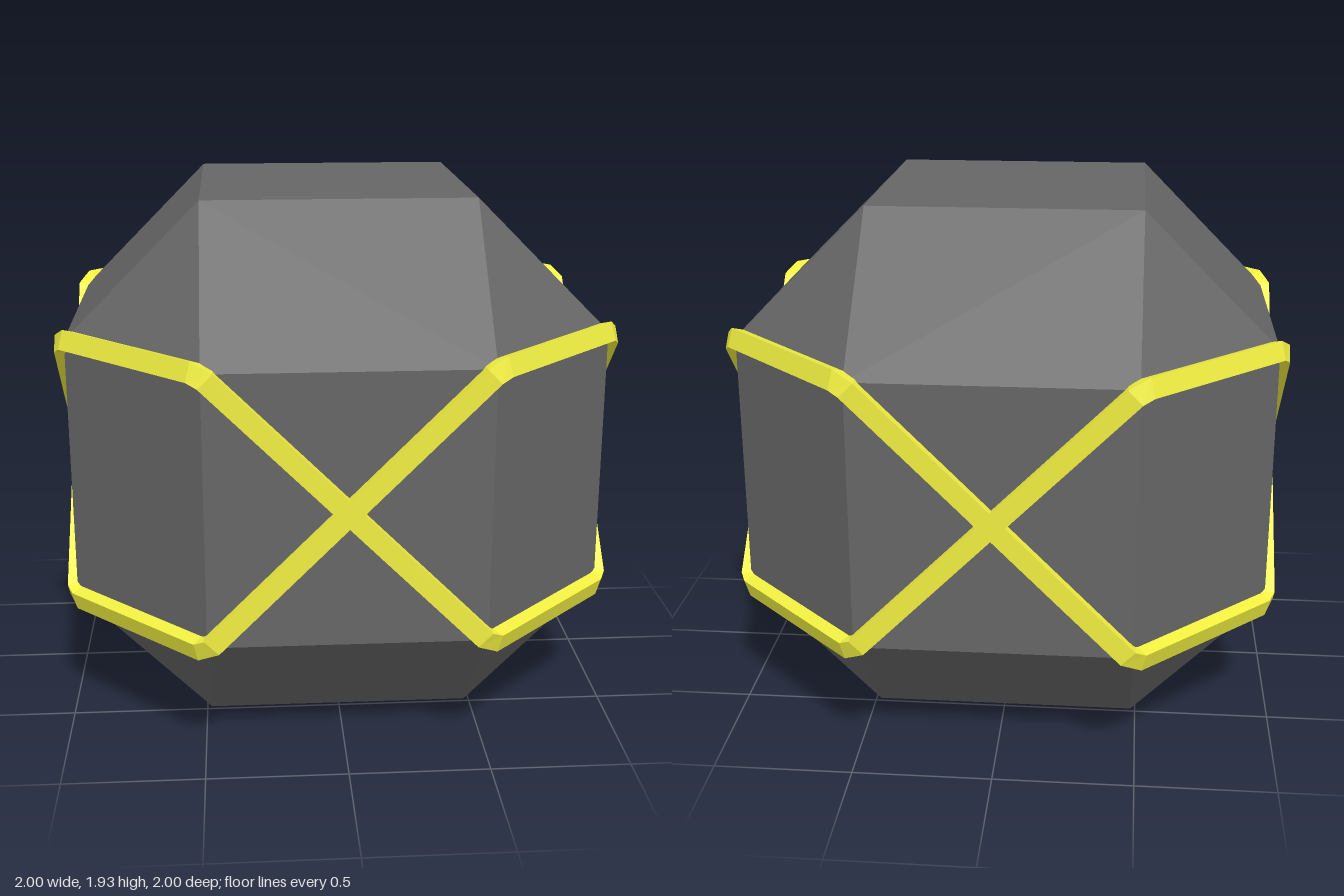
import * as THREE from 'three';
import { ConvexGeometry } from 'three/addons/geometries/ConvexGeometry.js';

const A = 0.4825;   // short coordinate of the body corners
const B = 0.965;    // long coordinate, also the body's half height
const HALF = 0.035; // half thickness of the bands
const BEVEL = 0.022; // how far each bar stops short of a corner

// Faceted ball: every signed permutation of (A, A, B)
function bodyGeometry() {
  const points = [];
  for (const x of [-1, 1]) for (const y of [-1, 1]) for (const z of [-1, 1]) {
    points.push(
      new THREE.Vector3(x * B, y * A, z * A),
      new THREE.Vector3(x * A, y * B, z * A),
      new THREE.Vector3(x * A, y * A, z * B)
    );
  }
  return new ConvexGeometry(points);
}

// Square-section zigzag band, closed around the body with bevelled corners
function bandGeometry() {
  const path = [
    [-A, A, B], [A, -A, B], [B, -A, A], [B, A, -A],
    [A, A, -B], [-A, -A, -B], [-B, -A, -A], [-B, A, A]
  ].map(p => new THREE.Vector3(...p));

  // Two rings per bar, one at each end
  const rings = [];
  path.forEach((start, i) => {
    const end = path[(i + 1) % path.length];
    const dir = end.clone().sub(start).normalize();
    const mid = start.clone().add(end).multiplyScalar(0.5);
    const out = new THREE.Vector3(mid.x, 0, mid.z).normalize();
    out.y = 0.317 * Math.sign(mid.y); // level bars lean over the edge they follow
    out.normalize();
    const side = out.clone().cross(dir);
    const ring = (p, shift) => [[1, 1], [-1, 1], [-1, -1], [1, -1]].map(([n, s]) =>
      p.clone().addScaledVector(dir, shift)
        .addScaledVector(out, n * HALF).addScaledVector(side, s * HALF));
    rings.push(ring(start, BEVEL), ring(end, -BEVEL));
  });

  const triangles = [];
  rings.forEach((r, i) => {
    const next = rings[(i + 1) % rings.length];
    for (let k = 0; k < 4; k++) {
      const m = (k + 1) % 4;
      triangles.push(r[k], next[k], next[m], r[k], next[m], r[m]);
    }
  });
  const geometry = new THREE.BufferGeometry().setFromPoints(triangles);
  geometry.computeVertexNormals();
  return geometry;
}

export function createModel() {
  const model = new THREE.Group();
  model.name = 'bandedPolyhedron';

  const body = new THREE.Mesh(bodyGeometry(),
    new THREE.MeshStandardMaterial({ color: 0x666666, flatShading: true }));
  body.name = 'body';
  body.position.y = B;
  model.add(body);

  // Two identical bands a quarter turn apart cross on the four sides
  const yellow = new THREE.MeshStandardMaterial({ color: 0xf0ee40, flatShading: true });
  const geometry = bandGeometry();
  ['firstBand', 'secondBand'].forEach((name, i) => {
    const band = new THREE.Mesh(geometry, yellow);
    band.name = name;
    band.position.y = B;
    band.rotation.y = i * Math.PI / 2;
    model.add(band);
  });
  return model;
}
